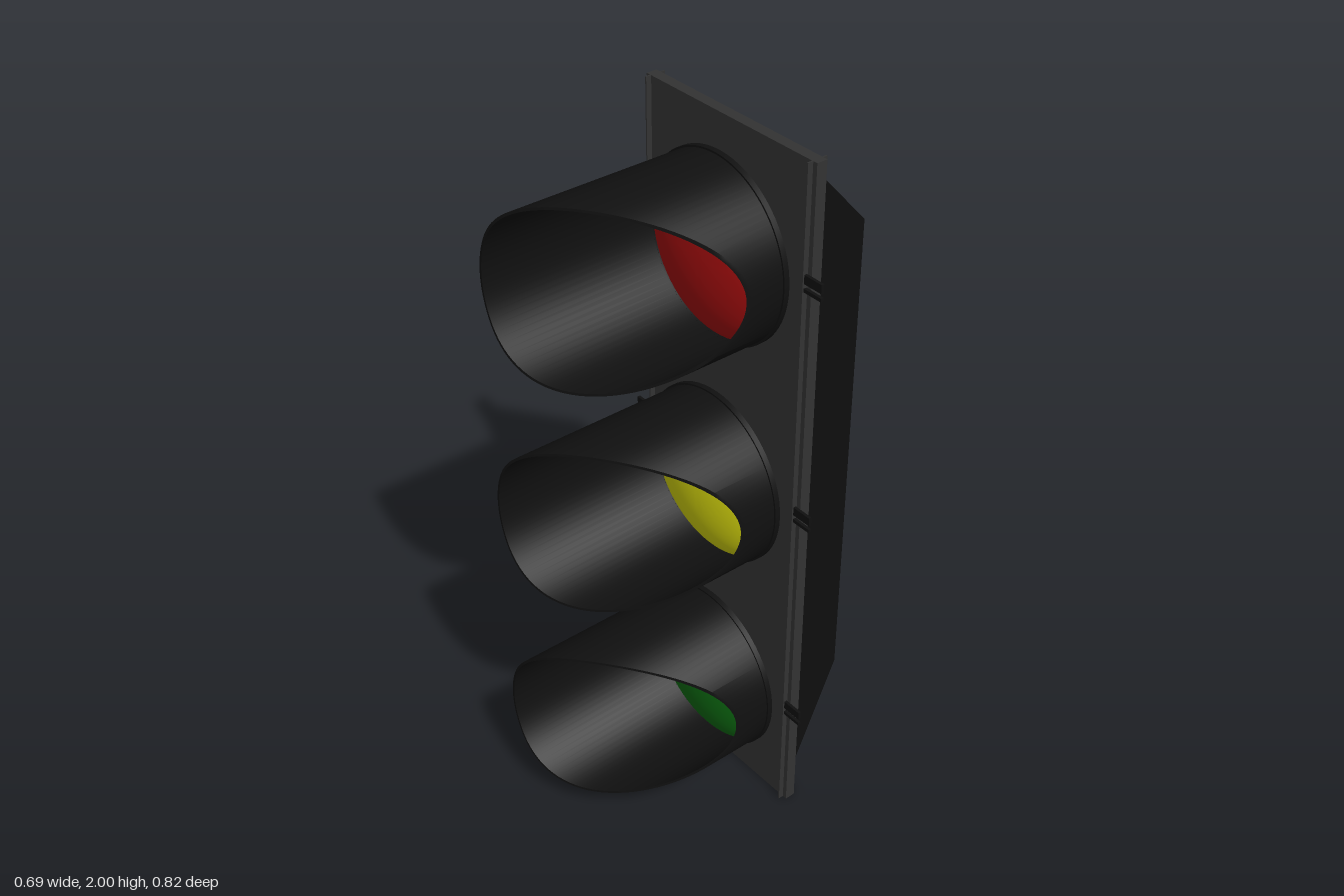
import * as THREE from 'three';
import { toCreasedNormals } from 'three/addons/utils/BufferGeometryUtils.js';

const paint = (color, side = THREE.FrontSide) => new THREE.MeshStandardMaterial({ color, side });
const BLACK = paint(0x101010);
const GREY = paint(0x333333);

function add(parent, name, geometry, material, x = 0, y = 0, z = 0) {
  const mesh = new THREE.Mesh(geometry, material);
  mesh.name = name;
  mesh.position.set(x, y, z);
  parent.add(mesh);
  return mesh;
}

// Turned solid whose axis points to +z; points are [radius, z]
function turned(points, segments = 64) {
  const profile = points.map(([r, z]) => new THREE.Vector2(r, z));
  return new THREE.LatheGeometry(profile, segments).rotateX(Math.PI / 2);
}

// Tubular visor, cut away on one side along a parabola
function visorGeometry() {
  const geo = turned([[0.24, 0], [0.247, 0], [0.247, 1], [0.24, 1], [0.24, 0]], 96);
  const p = geo.attributes.position;
  for (let i = 0; i < p.count; i++) {
    const reach = 0.41 - 1.88 * Math.max(0, p.getX(i) + 0.22) ** 2;
    p.setZ(i, p.getZ(i) > 0.5 ? reach : -0.108);
  }
  return toCreasedNormals(geo, Math.PI / 4);
}

// Shallow domed lens with a flat back
function lensGeometry() {
  const points = [[0, 0]];
  for (let i = 0; i <= 16; i++) {
    const a = (i / 16) * Math.PI / 2;
    points.push([0.242 * Math.cos(a), 0.07 * Math.sin(a)]);
  }
  return toCreasedNormals(turned(points), Math.PI / 4);
}

// Tapered rear housing: rectangles [half width, half height, z] joined by
// flat faces, ending in a recessed back panel
function housingGeometry() {
  const sections = [
    [0, 0, -0.16], [0.27, 0.96, -0.16], [0.18, 0.715, -0.41],
    [0.15, 0.675, -0.41], [0.143, 0.668, -0.395], [0, 0, -0.395],
  ];
  const corners = [[1, 1], [-1, 1], [-1, -1], [1, -1]];
  const position = [], index = [];
  for (const [w, h, z] of sections) {
    for (const [sx, sy] of corners) position.push(sx * w, sy * h, z);
  }
  for (let s = 0; s < sections.length - 1; s++) {
    for (let c = 0; c < 4; c++) {
      const a = s * 4 + c, b = s * 4 + (c + 1) % 4;
      index.push(a, a + 4, b, b, a + 4, b + 4);
    }
  }
  const geo = new THREE.BufferGeometry();
  geo.setAttribute('position', new THREE.Float32BufferAttribute(position, 3));
  geo.setIndex(index);
  const flat = geo.toNonIndexed();
  flat.computeVertexNormals();
  return flat;
}

export function createModel() {
  const model = new THREE.Group();
  model.name = 'trafficLight';

  // Face plate, its edge strips and the housing behind it
  add(model, 'facePlate', new THREE.BoxGeometry(0.6, 2, 0.03), GREY, 0, 1, -0.145);
  for (const side of [-1, 1]) {
    add(model, 'edgeStrip', new THREE.BoxGeometry(0.004, 2, 0.057), GREY, side * 0.285, 1, -0.1435);
  }
  add(model, 'housing', housingGeometry(), BLACK, 0, 1, 0);

  // Three lamps, each with lens, ring, visor and side latches
  const visor = visorGeometry();
  const lens = lensGeometry();
  const ring = toCreasedNormals(turned([
    [0.24, -0.107], [0.252, -0.107], [0.252, -0.092], [0.24, -0.092], [0.24, -0.107],
  ]), Math.PI / 4);
  const lamps = [['red', 0xb01010, 1.67], ['yellow', 0xe6e610, 1.0], ['green', 0x0f7514, 0.33]];
  for (const [name, color, y] of lamps) {
    const lamp = new THREE.Group();
    lamp.name = name + 'Lamp';
    lamp.position.y = y;
    model.add(lamp);
    add(lamp, 'lens', lens, paint(color), 0, 0, -0.112);
    add(lamp, 'visor', visor, BLACK);
    add(lamp, 'ring', ring, BLACK);
    for (const side of [-1, 1]) {
      add(lamp, 'latch', new THREE.BoxGeometry(0.06, 0.024, 0.008), BLACK, side * 0.315, 0.036, -0.123);
      add(lamp, 'latchPin', new THREE.BoxGeometry(0.06, 0.01, 0.008), BLACK, side * 0.315, 0.007, -0.123);
    }
  }
  return model;
}
